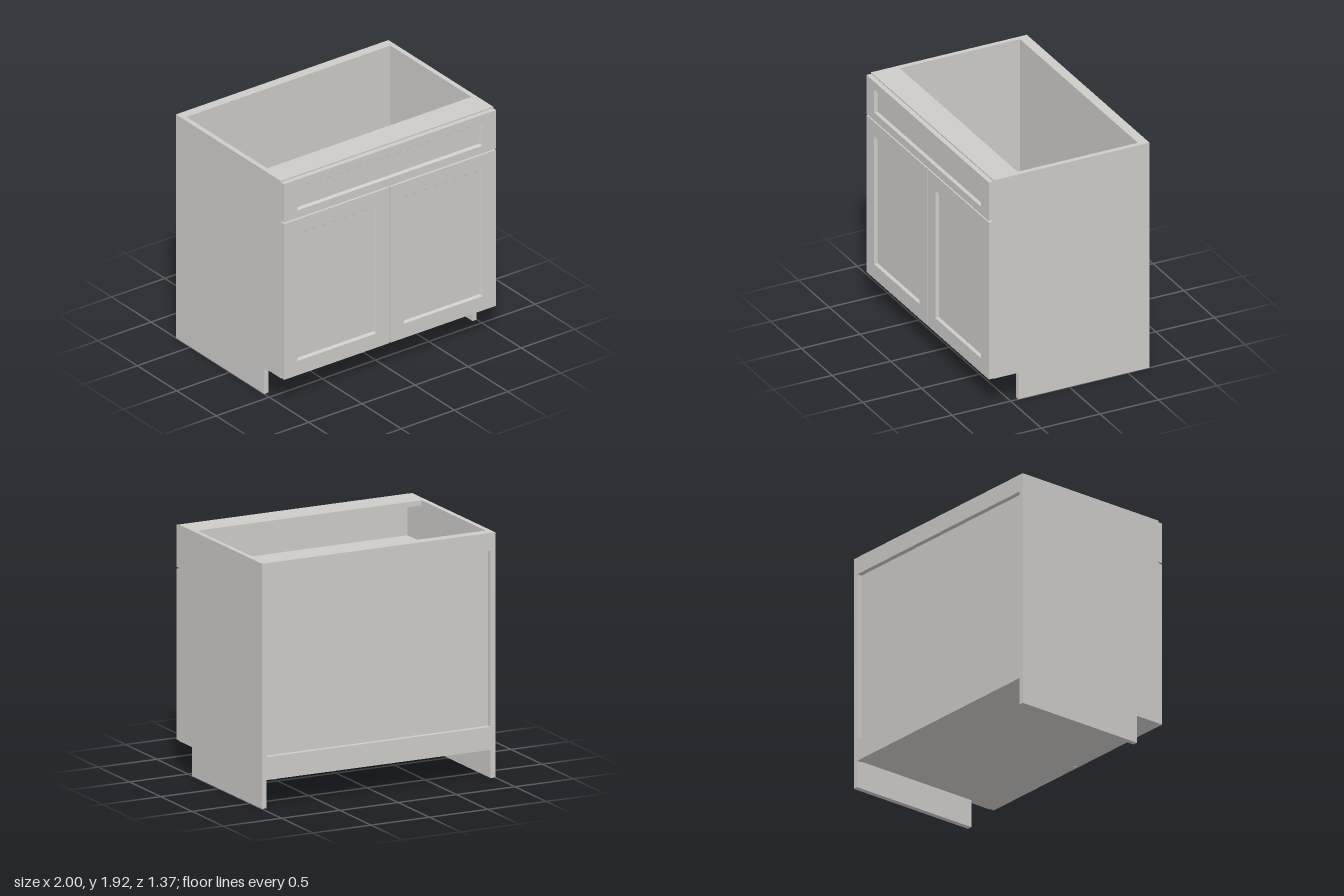
import * as THREE from 'three';

const H = 1.915, BACK = -0.685, CASE_FRONT = 0.645, FRONT = 0.685, T = 0.04, IN = 0.96;

export function createModel() {
  const cabinet = new THREE.Group();
  cabinet.name = 'baseCabinet';
  const paint = new THREE.MeshStandardMaterial({ color: 0xcccbc8 });
  paint.name = 'pale grey paint';

  function add(name, geometry) {
    const mesh = new THREE.Mesh(geometry, paint);
    mesh.name = name;
    cabinet.add(mesh);
    return mesh;
  }

  // Board given by its extents on each axis
  function board(name, [x0, x1], [y0, y1], [z0, z1]) {
    add(name, new THREE.BoxGeometry(x1 - x0, y1 - y0, z1 - z0))
      .position.set((x0 + x1) / 2, (y0 + y1) / 2, (z0 + z1) / 2);
  }

  // Shaker front: rectangular rings from the back, round the frame, down the bevel to the panel
  function shakerFront(name, [x0, x1], [y0, y1], [px0, px1], [py0, py1]) {
    const bevel = 0.014, depth = 0.02;
    const ring = (a, b, c, d, z) => [[a, c, z], [b, c, z], [b, d, z], [a, d, z]];
    const rings = [
      ring(x0, x1, y0, y1, CASE_FRONT),
      ring(x0, x1, y0, y1, FRONT),
      ring(px0, px1, py0, py1, FRONT),
      ring(px0 + bevel, px1 - bevel, py0 + bevel, py1 - bevel, FRONT - depth),
    ];
    const points = [];
    const quad = (a, b, c, d) => points.push(...a, ...b, ...c, ...a, ...c, ...d);
    for (let r = 0; r < rings.length - 1; r++) {
      for (let i = 0; i < 4; i++) {
        const j = (i + 1) % 4;
        quad(rings[r][i], rings[r][j], rings[r + 1][j], rings[r + 1][i]);
      }
    }
    quad(...rings[3]);
    quad(...[...rings[0]].reverse());
    const geometry = new THREE.BufferGeometry();
    geometry.setAttribute('position', new THREE.Float32BufferAttribute(points, 3));
    geometry.computeVertexNormals();
    add(name, geometry);
  }

  // Side panels with the toe notch; shape is drawn in (-z, y) and turned upright
  const outline = [[BACK, 0], [0.435, 0], [0.435, 0.225], [CASE_FRONT, 0.225], [CASE_FRONT, H], [BACK, H]];
  const sideShape = new THREE.Shape(outline.map(([z, y]) => new THREE.Vector2(-z, y)));
  for (const [name, x] of [['leftSide', IN], ['rightSide', -1]]) {
    const geometry = new THREE.ExtrudeGeometry(sideShape, { depth: T, bevelEnabled: false });
    geometry.rotateY(Math.PI / 2);
    add(name, geometry).position.x = x;
  }

  // Carcass boards between the sides
  const span = [-IN, IN];
  board('bottomPanel', span, [0.225, 0.265], [-0.645, CASE_FRONT]);
  board('backPanel', span, [0.225, H], [-0.645, -0.605]);
  board('upperBackRail', span, [1.775, H], [BACK, -0.645]);
  board('lowerBackRail', span, [0.22, 0.4], [BACK, -0.645]);
  board('topStretcher', span, [H - T, H], [0.42, CASE_FRONT]);
  board('middleStretcher', span, [1.55, 1.59], [0.42, CASE_FRONT]);

  // Drawer front and the pair of doors
  shakerFront('drawerFront', [-0.997, 0.997], [1.575, 1.904], [-0.87, 0.87], [1.64, 1.835]);
  shakerFront('leftDoor', [0.004, 0.997], [0.227, 1.562], [0.13, 0.87], [0.35, 1.437]);
  shakerFront('rightDoor', [-0.997, -0.004], [0.227, 1.562], [-0.87, -0.13], [0.35, 1.437]);

  return cabinet;
}
